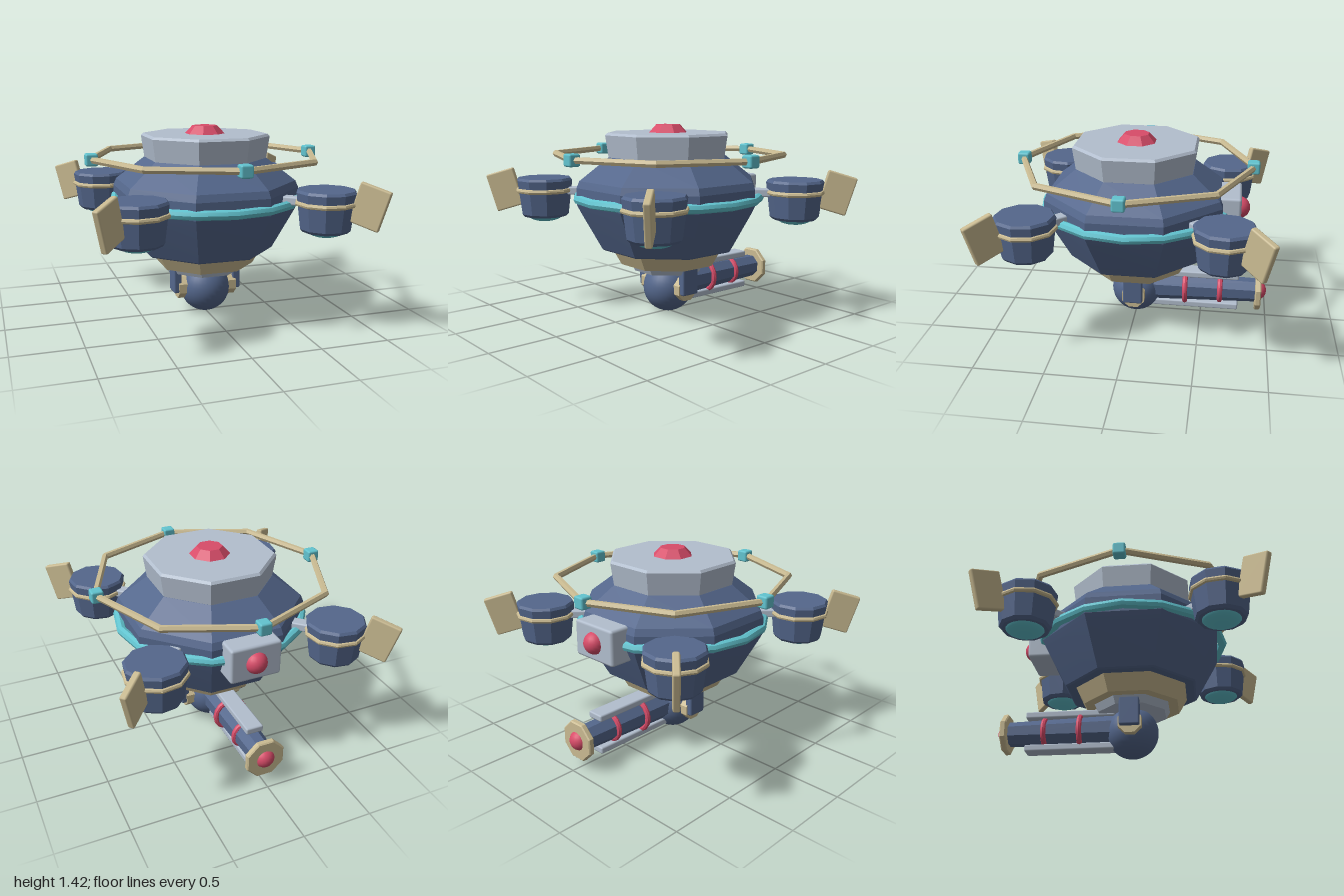
import * as THREE from 'three';
import { toCreasedNormals } from 'three/addons/utils/BufferGeometryUtils.js';
import { RoundedBoxGeometry } from 'three/addons/geometries/RoundedBoxGeometry.js';

const paint = (name, color) => {
  const m = new THREE.MeshStandardMaterial({ color });
  m.name = name;
  return m;
};

export function createModel() {
  const navy = paint('navy', 0x54678c);
  const grey = paint('paleGrey', 0xb2bece);
  const tan = paint('tan', 0xcabb92);
  const teal = paint('teal', 0x62c4d0);
  const red = paint('red', 0xd84c69);

  const model = new THREE.Group();
  model.name = 'hoverDrone';

  const add = (parent, name, geometry, material, x = 0, y = 0, z = 0) => {
    const mesh = new THREE.Mesh(geometry, material);
    mesh.name = name;
    mesh.position.set(x, y, z);
    parent.add(mesh);
    return mesh;
  };

  // Faceted solid of revolution: profile of [distance to flat side, y], flats facing the axes
  const faceted = (profile, sides = 8) => {
    const k = 1 / Math.cos(Math.PI / sides);
    const points = profile.map(([r, y]) => new THREE.Vector2(r * k, y));
    const g = new THREE.LatheGeometry(points, sides).rotateY(Math.PI / sides);
    return toCreasedNormals(g, 0.3);
  };
  const hoop = (radius, tube, sides, tubeSides = 8) =>
    toCreasedNormals(new THREE.TorusGeometry(radius, tube, tubeSides, sides), 0.5);
  const box = (w, h, d, bevel = 0.012) => new RoundedBoxGeometry(w, h, d, 1, bevel);

  // Hull, cap and collars
  add(model, 'hull', faceted([
    [0, 0.5], [0.455, 0.5], [0.468, 0.51], [0.612, 0.79], [0.64, 0.85],
    [0.64, 0.97], [0.62, 1.02], [0.42, 1.185], [0, 1.185]]), navy);
  add(model, 'cap', faceted([
    [0, 1.16], [0.415, 1.16], [0.44, 1.345], [0.425, 1.362], [0, 1.362]]), grey);
  add(model, 'topLamp', faceted([[0, 1.35], [0.145, 1.35], [0.085, 1.42], [0, 1.42]]), red);
  add(model, 'skirt', faceted([[0, 0.385], [0.335, 0.385], [0.397, 0.503], [0, 0.503]]), tan);
  add(model, 'neckCollar', faceted([[0, 0.33], [0.24, 0.33], [0.27, 0.39], [0, 0.39]]), grey);
  add(model, 'waistRing', hoop(0.68, 0.035, 16).rotateX(Math.PI / 2), teal, 0, 0.885, 0);

  // Octagonal halo with a node on each axis
  add(model, 'halo', hoop(0.85, 0.025, 8, 6).rotateX(Math.PI / 2), tan, 0, 1.2, 0);
  for (let i = 0; i < 4; i++) {
    const a = i * Math.PI / 2;
    add(model, 'haloNode', box(0.088, 0.088, 0.088, 0.014), teal,
      0.842 * Math.cos(a), 1.2, 0.842 * Math.sin(a));
  }

  // Four thruster pods on the diagonals, built along +x then turned
  for (let i = 0; i < 4; i++) {
    const arm = new THREE.Group();
    arm.name = 'thrusterArm';
    arm.rotation.y = Math.PI / 4 + i * Math.PI / 2;
    model.add(arm);
    const r = 0.942;
    add(arm, 'strut', box(0.2, 0.06, 0.09), grey, 0.69, 0.92, 0);
    add(arm, 'pod', faceted([
      [0, 0.725], [0.155, 0.725], [0.172, 0.745], [0.203, 1.0], [0.19, 1.018], [0, 1.018]], 10),
    navy, r, 0, 0);
    add(arm, 'podBand', hoop(0.204, 0.018, 10).rotateX(Math.PI / 2), tan, r, 0.925, 0);
    add(arm, 'thrusterGlow', new THREE.SphereGeometry(0.14, 20, 12).scale(1, 0.42, 1),
      teal, r, 0.742, 0);
    add(arm, 'fin', box(0.22, 0.29, 0.048), tan, 1.247, 0.922, 0).rotation.z = -0.29;
  }

  // Rear sensor
  add(model, 'sensorBox', box(0.375, 0.26, 0.22, 0.02), grey, 0, 0.89, -0.66);
  add(model, 'sensorEye', new THREE.SphereGeometry(0.08, 20, 14), red, 0, 0.89, -0.755);

  // Ball turret and its yoke
  add(model, 'turretBall', new THREE.SphereGeometry(0.188, 32, 20), navy, 0, 0.19, 0);
  for (const s of [-1, 1]) {
    add(model, 'yokeArm', box(0.06, 0.21, 0.145), navy, s * 0.232, 0.275, 0);
    add(model, 'yokeHub', faceted([[0, -0.035], [0.083, -0.035], [0.083, 0.035], [0, 0.035]])
      .rotateZ(Math.PI / 2), tan, s * 0.19, 0.205, 0);
  }

  // Cannon pointing backwards
  const cannon = new THREE.Group();
  cannon.name = 'cannon';
  cannon.position.y = 0.215;
  model.add(cannon);
  const alongBack = (profile) => faceted(profile).rotateX(-Math.PI / 2);
  add(cannon, 'barrel', alongBack([[0, 0.1], [0.105, 0.1], [0.082, 0.93], [0, 0.93]]), navy);
  for (const [z, radius] of [[-0.38, 0.115], [-0.645, 0.095]])
    add(cannon, 'barrelRing', hoop(radius, 0.02, 16), red, 0, 0, z);
  add(cannon, 'muzzle', alongBack([
    [0, 0.91], [0.13, 0.91], [0.138, 0.918], [0.138, 0.947], [0.13, 0.955], [0, 0.955]]), tan);
  add(cannon, 'muzzleLamp', new THREE.SphereGeometry(0.075, 20, 14), red, 0, 0, -0.922);
  for (const s of [-1, 1])
    add(cannon, 'barrelRail', box(0.13, 0.05, 0.66), grey, 0, s * 0.126, -0.455);

  return model;
}
